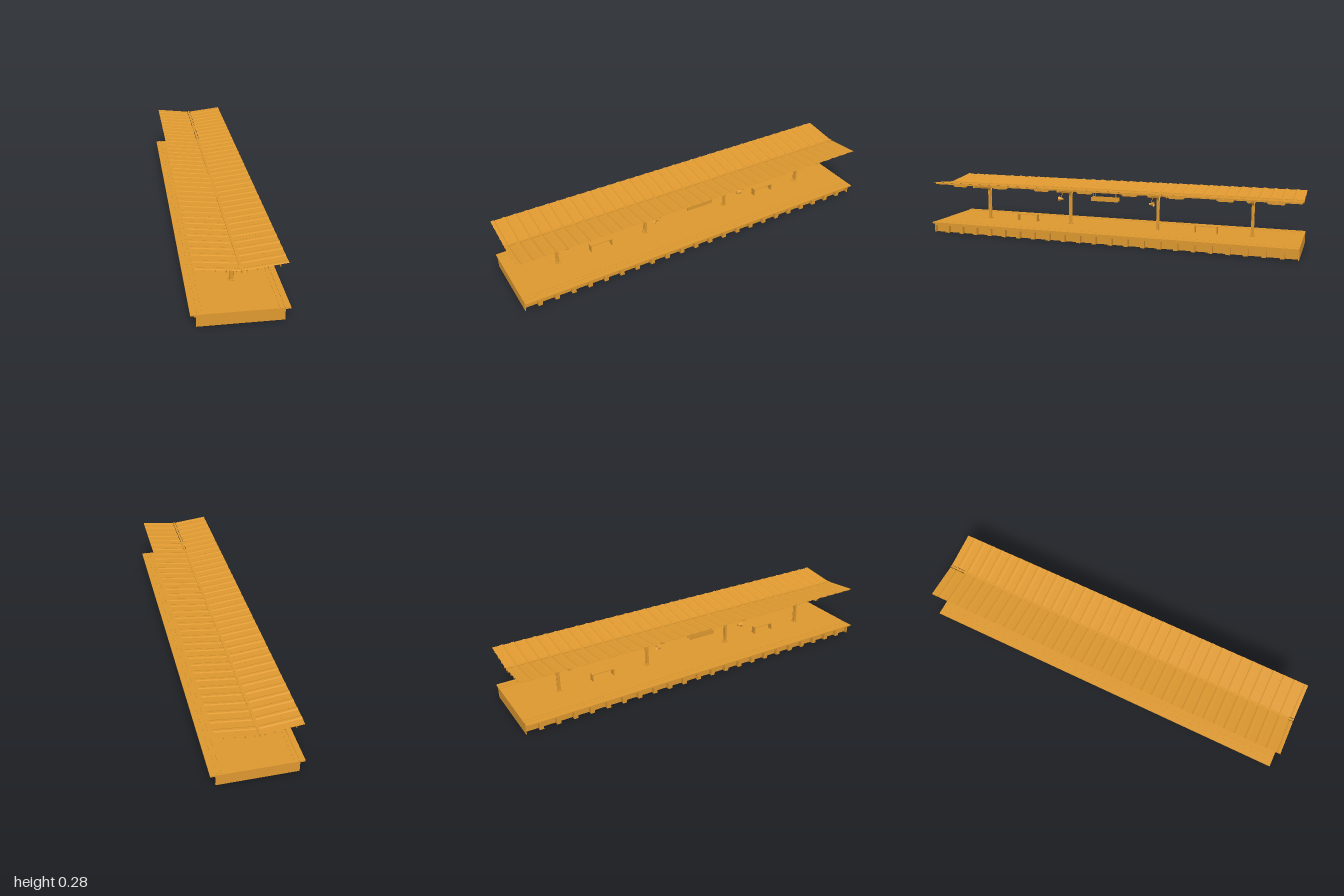
import * as THREE from 'three';

const mat = new THREE.MeshStandardMaterial({ color: 0xe09a30, flatShading: true, side: THREE.DoubleSide });

function add(parent, name, geo, x = 0, y = 0, z = 0) {
  const m = new THREE.Mesh(geo, mat);
  m.name = name;
  m.position.set(x, y, z);
  parent.add(m);
  return m;
}

// box given by its limits on each axis
function box(parent, name, x0, x1, y0, y1, z0, z1) {
  return add(parent, name, new THREE.BoxGeometry(Math.abs(x1 - x0), y1 - y0, Math.abs(z1 - z0)),
    (x0 + x1) / 2, (y0 + y1) / 2, (z0 + z1) / 2);
}

// thin round bar between two points
function rod(parent, name, a, b, r) {
  const p = new THREE.Vector3(...a), q = new THREE.Vector3(...b);
  const m = add(parent, name, new THREE.CylinderGeometry(r, r, p.distanceTo(q), 6));
  m.position.copy(p).add(q).multiplyScalar(0.5);
  m.quaternion.setFromUnitVectors(new THREE.Vector3(0, 1, 0), q.sub(p).normalize());
}

// Y-shaped frame outline, shrunk inward by d
function frameOutline(d, Type) {
  const s = new Type(), w = 0.0085 - d, t = 0.178 - d;
  s.moveTo(-w, 0.062 + d);
  s.lineTo(w, 0.062 + d);
  s.lineTo(w, 0.215);
  s.quadraticCurveTo(w, 0.231 + d, 0.026, 0.2345 + d);
  s.lineTo(t, 0.262 + d);
  s.lineTo(t, 0.271 - d);
  s.lineTo(0, 0.248 - d);
  s.lineTo(-t, 0.271 - d);
  s.lineTo(-t, 0.262 + d);
  s.lineTo(-0.026, 0.2345 + d);
  s.quadraticCurveTo(-w, 0.231 + d, -w, 0.215);
  s.closePath();
  return s;
}

function extrude(shape, depth) {
  return new THREE.ExtrudeGeometry(shape, { depth, bevelEnabled: false, curveSegments: 6 })
    .translate(0, 0, -depth / 2);
}

const roofY = (x) => 0.2605 + (Math.abs(x) - 0.008) * 0.115;

// sheet with trapezoid ribs, rising outward
function roofSheet(side) {
  const ribs = 35, pitch = 2 / ribs;
  const profile = [[0, 0], [0.62, 0], [0.72, 0.0025], [0.9, 0.0025]];
  const geo = new THREE.PlaneGeometry(1, 1, 1, ribs * 4);
  const p = geo.attributes.position;
  for (let i = 0; i < p.count; i++) {
    const row = Math.floor(i / 2), [f, h] = profile[row % 4];
    const x = i % 2 ? 0.197 : 0.008;
    p.setXYZ(i, side * x, roofY(x) + h, -1 + (Math.floor(row / 4) + f) * pitch);
  }
  // keep the upper face outward on both wings
  if (side < 0) {
    const ix = geo.index;
    for (let i = 0; i < ix.count; i += 3) {
      const a = ix.getX(i);
      ix.setX(i, ix.getX(i + 1));
      ix.setX(i + 1, a);
    }
  }
  const flat = geo.toNonIndexed();
  flat.computeVertexNormals();
  return flat;
}

function buildPlatform() {
  const g = new THREE.Group();
  g.name = 'platform';
  box(g, 'deck', -0.166, 0.166, 0.055, 0.06, -1, 1);
  for (const e of [-1, 1]) box(g, 'endWall', -0.193, 0.193, 0, 0.058, e, e * 0.996);

  const count = 23, gap = 0.018, pitch = (2 + gap) / count, w = pitch - gap;
  for (const s of [-1, 1]) {
    // edge strips and overhanging coping
    box(g, 'deckJoint', s * 0.166, s * 0.19, 0.055, 0.0585, -1, 1);
    box(g, 'warningStrip', s * 0.169, s * 0.187, 0.055, 0.06, -1, 1);
    box(g, 'coping', s * 0.19, s * 0.217, 0.054, 0.061, -1, 1);
    box(g, 'wallBand', s * 0.19, s * 0.193, 0.04, 0.055, -1, 1);
    // side wall of piers and recessed niches
    for (let i = 0; i < count; i++) {
      const z = -1 + i * pitch;
      box(g, 'nichePanel', s * 0.17, s * 0.172, 0, 0.042, z, z + w);
      box(g, 'nicheTop', s * 0.17, s * 0.192, 0.04, 0.042, z, z + w);
      box(g, 'nicheSide', s * 0.17, s * 0.193, 0, 0.042, z, z + 0.002);
      box(g, 'nicheSide', s * 0.17, s * 0.193, 0, 0.042, z + w - 0.002, z + w);
      if (i < count - 1) box(g, 'pier', s * 0.19, s * 0.193, 0, 0.042, z + w, z + pitch);
    }
  }
  return g;
}

function buildFrame(z) {
  const g = new THREE.Group();
  g.name = 'canopyFrame';
  const flange = frameOutline(0, THREE.Shape);
  flange.holes.push(frameOutline(0.002, THREE.Path));
  add(g, 'frameFlange', extrude(flange, 0.014));
  add(g, 'frameWeb', extrude(frameOutline(0.001, THREE.Shape), 0.003));
  box(g, 'basePlate', -0.013, 0.013, 0.06, 0.064, -0.012, 0.012);
  g.position.z = z;
  return g;
}

function buildRoof() {
  const g = new THREE.Group();
  g.name = 'roof';
  for (const s of [-1, 1]) {
    add(g, 'roofSheet', roofSheet(s));
    // purlins between frames and sheet
    for (const x of [0.022, 0.065, 0.11, 0.16]) {
      const top = roofY(x), low = 0.248 + x * 0.129;
      box(g, 'purlinWeb', s * (x - 0.001), s * (x + 0.001), low, top, -1, 1);
      box(g, 'purlinFoot', s * (x - 0.001), s * (x + 0.004), low, low + 0.001, -1, 1);
    }
    // lights under each wing
    for (let i = 0; i < 8; i++) {
      const z = -0.875 + i * 0.25;
      box(g, 'lightHousing', s * 0.104, s * 0.118, 0.254, 0.262, z - 0.042, z + 0.042);
      box(g, 'lightTube', s * 0.108, s * 0.114, 0.25, 0.254, z - 0.038, z + 0.038);
    }
  }
  // valley beam
  box(g, 'valleyBeamWeb', -0.001, 0.001, 0.248, 0.262, -1, 1);
  box(g, 'valleyBeamTop', -0.006, 0.006, 0.261, 0.263, -1, 1);
  return g;
}

function buildBench(z) {
  const g = new THREE.Group();
  g.name = 'bench';
  box(g, 'benchSeat', -0.013, 0.015, 0.095, 0.099, -0.061, 0.061);
  for (const s of [-1, 1]) box(g, 'benchLeg', -0.013, 0.015, 0.06, 0.096, s * 0.061, s * 0.056);
  g.position.z = z;
  return g;
}

// loudspeaker on a bracket beside a frame
function buildSpeaker(side, dir) {
  const g = new THREE.Group();
  g.name = 'loudspeaker';
  const horn = new THREE.CylinderGeometry(0.014, 0.005, 0.018, 8, 1, true).rotateX(dir * Math.PI / 2);
  const z = dir * 0.25, x = side * 0.133;
  add(g, 'hornBell', horn, x, 0.221, z + dir * 0.004);
  add(g, 'hornDriver', new THREE.CylinderGeometry(0.006, 0.006, 0.01, 8).rotateX(Math.PI / 2), x, 0.221, z - dir * 0.006);
  rod(g, 'hornBracket', [x, 0.224, z], [side * 0.112, 0.254, z], 0.0012);
  return g;
}

// hanging sign, two thin faces on rods
function buildSign(side) {
  const g = new THREE.Group();
  g.name = 'hangingSign';
  for (const x of [0.121, 0.146]) {
    box(g, 'signPanel', side * (x - 0.001), side * (x + 0.001), 0.222, 0.243, -0.075, 0.075);
    for (const z of [-0.06, 0.06]) rod(g, 'signRod', [side * x, 0.243, z], [side * x, roofY(x), z], 0.001);
  }
  return g;
}

export function createModel() {
  const model = new THREE.Group();
  model.name = 'stationPlatform';
  model.add(buildPlatform(), buildRoof());
  for (const z of [-0.75, -0.25, 0.25, 0.75]) model.add(buildFrame(z));
  for (const s of [-1, 1]) {
    model.add(buildBench(s * 0.51), buildSign(s));
    for (const d of [-1, 1]) model.add(buildSpeaker(s, d));
  }
  return model;
}
